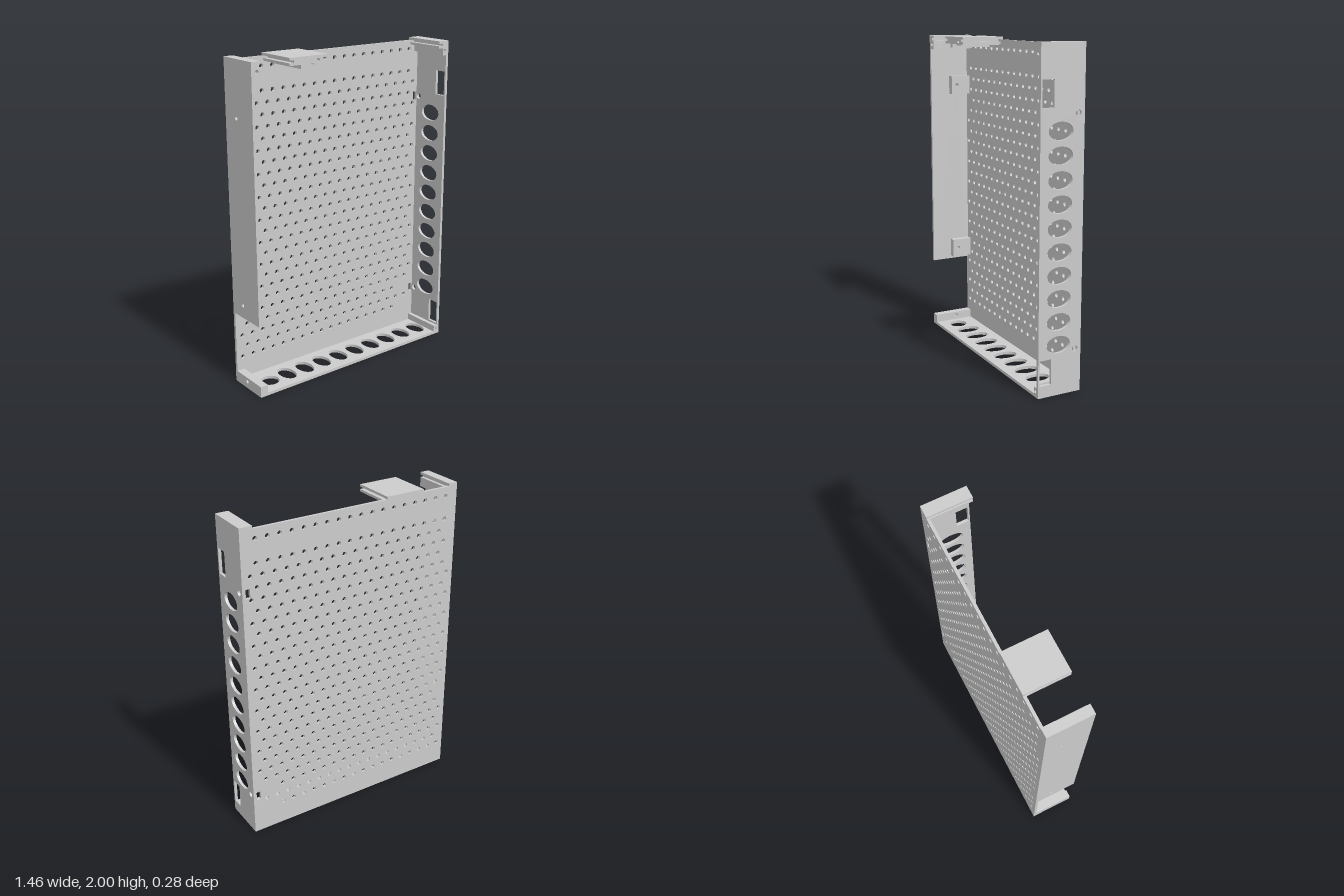
import * as THREE from 'three';

const W = 0.73, D = 0.14, T = 0.018;
const material = new THREE.MeshStandardMaterial({ color: 0xcccccc, side: THREE.DoubleSide });

function polygon(points) {
  return new THREE.Shape(points.map(([x, y]) => new THREE.Vector2(x, y)));
}
function rectPoints(x0, y0, x1, y1) {
  return [[x0, y0], [x1, y0], [x1, y1], [x0, y1]];
}
function oval(x, y, rx, ry = rx) {
  const path = new THREE.Path();
  path.absellipse(x, y, rx, ry, 0, Math.PI * 2, true);
  return path;
}
function rectHole(...r) {
  return new THREE.Path(rectPoints(...r).reverse().map(([x, y]) => new THREE.Vector2(x, y)));
}
function extrude(points, holes, depth, curveSegments) {
  const shape = polygon(points);
  shape.holes.push(...holes);
  return new THREE.ExtrudeGeometry(shape, { depth, bevelEnabled: false, curveSegments });
}

export function createModel() {
  const group = new THREE.Group();
  const add = (name, geometry) => {
    const mesh = new THREE.Mesh(geometry, material);
    mesh.name = name;
    group.add(mesh);
  };
  // Sheet lying in z/y, thickened along +x; shape coordinates are (-z, y)
  const addSide = (name, points, holes, x, depth) =>
    add(name, extrude(points, holes, depth, 16).rotateY(Math.PI / 2).translate(x, 0, 0));
  // Profile in x/y, running from the back plate to the front
  const addRail = (name, points, holes = []) =>
    add(name, extrude(points, holes, 2 * D - T, 8).translate(0, 0, -D + T));

  // Perforated back plate with staggered holes and tabs up to the top rails
  const holes = [];
  for (let k = 0; k <= 25; k++) {
    if (k === 1) continue;
    const odd = k % 2, y = 1.927 - 0.0709 * k;
    const count = odd ? 19 : 18;
    for (let i = 0; i < count; i++) {
      if (odd && i === 0 && [3, 5, 19].includes(k)) continue;
      if (odd && i >= 17 && k >= 23) continue;
      holes.push(oval((odd ? -0.685 : -0.647) + i * 0.0756, y, 0.014));
    }
  }
  const latchHeights = [0.263, 1.617];
  for (const y of latchHeights) holes.push(rectHole(0.682, y - 0.028, 0.709, y + 0.028));
  const backOutline = [
    [-W, 0], [W, 0], [W, 2], [0.65, 2], [0.65, 1.983], [-0.22, 1.983], [-0.22, 2],
    [-0.48, 2], [-0.48, 1.983], [-0.67, 1.983], [-0.67, 2], [-W, 2],
  ];
  add('backPlate', extrude(backOutline, holes, T, 5).translate(0, 0, -D));

  // Bottom wall with a row of oval vents, the first one round
  const vents = [oval(-0.585, 0.02, 0.057)];
  for (let i = 1; i < 10; i++) vents.push(oval(-0.585 + i * 0.1348, 0.008, 0.05, 0.077));
  add('bottomWall', extrude(rectPoints(-W, -D + T, W - T, D), vents, T, 16)
    .rotateX(Math.PI / 2).translate(0, T, 0));

  // Vented side wall with two windows and two latch holes
  const sideHoles = [rectHole(-0.13, 0.072, -0.055, 0.225), rectHole(-0.13, 1.652, -0.055, 1.805)];
  for (let i = 0; i < 10; i++) sideHoles.push(oval(-0.01, 0.305 + i * 0.1355, 0.078, 0.051));
  for (const y of latchHeights) sideHoles.push(oval(0.101, y, 0.018));
  addSide('ventedWall', rectPoints(-D, 0, D - T, 2), sideHoles, W - T, T);

  // Plain side wall, open near the bottom, with two drilled mounting blocks
  const blockHeights = [0.54, 1.67];
  addSide('plainWall', rectPoints(-D, 0.46, D - T, 2),
    blockHeights.map(y => oval(0.028, y, 0.012)), -W, T);
  for (const y of blockHeights) {
    addSide('mountingBlock', rectPoints(-0.01, y - 0.06, D - T, y + 0.06),
      [oval(0.028, y, 0.012)], -W + T, 0.042);
  }

  // Corner bars at the bottom
  addSide('lowerCornerBar', rectPoints(-D, T, D - T, 0.07), [oval(0.01, 0.045, 0.012)], -W, 0.05);
  addRail('lowerCornerPost', rectPoints(0.685, T, W - T, 0.06), [oval(0.7, 0.035, 0.01)]);

  // Slotted rails in the top corners
  addRail('upperRail', [
    [-W + T, 1.91], [-0.67, 1.91], [-0.67, 1.968], [-0.69, 1.968], [-0.69, 1.984],
    [-0.67, 1.984], [-0.67, 2], [-W + T, 2],
  ], [oval(-0.695, 1.943, 0.012)]);
  addRail('upperRail', [
    [W - T, 1.91], [W - T, 2], [0.65, 2], [0.65, 1.984], [0.68, 1.984], [0.68, 1.97],
    [0.65, 1.97], [0.65, 1.955], [0.683, 1.955], [0.683, 1.91],
  ], [oval(0.698, 1.94, 0.01)]);

  // Middle rail, slotted on both sides
  addRail('middleRail', [
    [-0.48, 2], [-0.48, 1.985], [-0.45, 1.985], [-0.45, 1.97], [-0.48, 1.97], [-0.48, 1.955],
    [-0.405, 1.955], [-0.405, 1.932], [-0.37, 1.932], [-0.37, 1.955], [-0.31, 1.955],
    [-0.31, 1.948], [-0.24, 1.948], [-0.24, 1.955], [-0.22, 1.955], [-0.22, 1.97],
    [-0.25, 1.97], [-0.25, 1.985], [-0.22, 1.985], [-0.22, 2],
  ], [oval(-0.285, 1.972, 0.011)]);

  return group;
}
